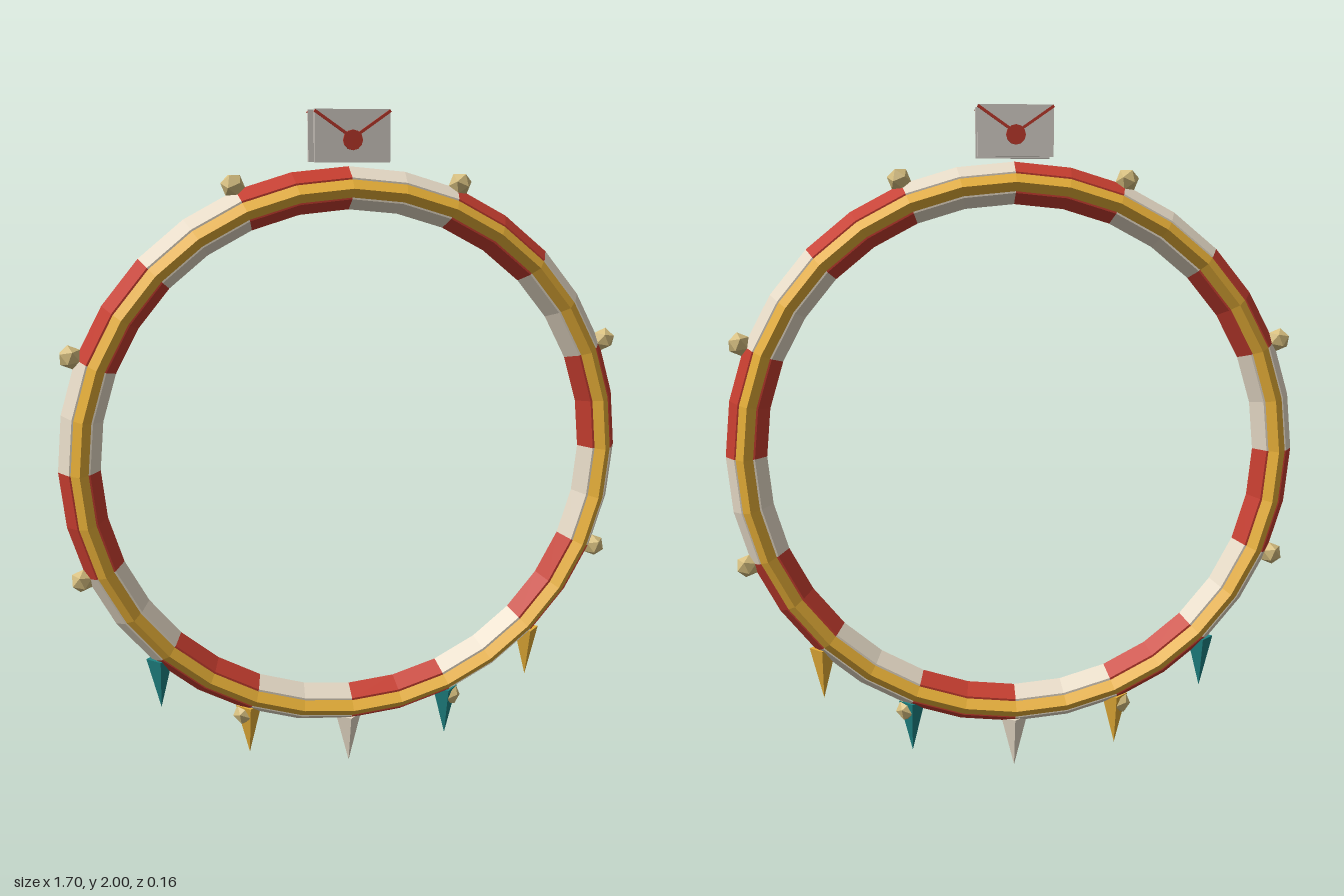
import * as THREE from 'three';

const mat = (color) => new THREE.MeshStandardMaterial({ color, flatShading: true });
const RED = mat(0xc83e30), CREAM = mat(0xe8dcc8), GOLD = mat(0xe8b038);
const TEAL = mat(0x1f8585), BRASS = mat(0xd8c080), PAPER = mat(0xd8d2ca), WAX = mat(0xc03a2c);
const CY = 0.995, R = 0.79;

function add(parent, name, geo, material, x = 0, y = 0, z = 0) {
  const m = new THREE.Mesh(geo, material);
  m.name = name;
  m.position.set(x, y, z);
  parent.add(m);
  return m;
}

export function createModel() {
  const model = new THREE.Group();
  model.name = 'stripedHoop';

  // Hoop of sixteen alternating hexagonal arcs
  const hoop = new THREE.Group();
  hoop.name = 'hoop';
  model.add(hoop);
  const step = Math.PI / 8;
  const arc = new THREE.TorusGeometry(R, 0.06, 6, 2, step);
  for (let i = 0; i < 16; i++) {
    add(hoop, 'hoopStripe', arc, i % 2 ? CREAM : RED, 0, CY).rotation.z = i * step;
  }

  // Gold rails on the front and back of the hoop
  const rail = new THREE.TorusGeometry(R, 0.025, 4, 32);
  for (const s of [1, -1]) add(model, s > 0 ? 'frontRail' : 'backRail', rail, GOLD, 0, CY, s * 0.055);

  // Faceted studs around the rim
  const stud = new THREE.IcosahedronGeometry(0.035, 0);
  for (let i = 0; i < 8; i++) {
    const a = (i + 0.5) * Math.PI / 4;
    add(model, 'stud', stud, BRASS, 0.865 * Math.cos(a), CY + 0.865 * Math.sin(a)).rotation.z = a;
  }

  // Pennants hanging straight down from the lower rim
  const pennant = new THREE.ConeGeometry(0.04, 0.16, 4);
  pennant.rotateX(Math.PI);
  [TEAL, GOLD, CREAM, TEAL, GOLD].forEach((m, i) => {
    const a = (i - 2) * step;
    add(model, 'pennant', pennant, m, 0.825 * Math.sin(a), 0.905 - 0.825 * Math.cos(a));
  });

  // Twin envelopes above the hoop, each with a flap crease facing outwards
  const w = 0.108, top = 1.996, dip = 1.922;
  const crease = new THREE.BoxGeometry(Math.hypot(w, top - dip), 0.008, 0.008);
  for (const s of [1, -1]) {
    const envelope = new THREE.Group();
    envelope.name = s > 0 ? 'frontEnvelope' : 'backEnvelope';
    model.add(envelope);
    add(envelope, 'envelopeSheet', new THREE.BoxGeometry(0.216, 0.144, 0.012), PAPER, 0, 1.928, s * 0.048);
    for (const side of [1, -1]) {
      add(envelope, 'flapCrease', crease, WAX, side * w / 2, (top + dip) / 2, s * 0.055)
        .rotation.z = side * Math.atan2(top - dip, w);
    }
  }

  // Wax seal passing through both envelopes
  const seal = new THREE.CylinderGeometry(0.028, 0.028, 0.122, 12);
  seal.rotateX(Math.PI / 2);
  add(model, 'waxSeal', seal, WAX, 0, 1.917);

  return model;
}
